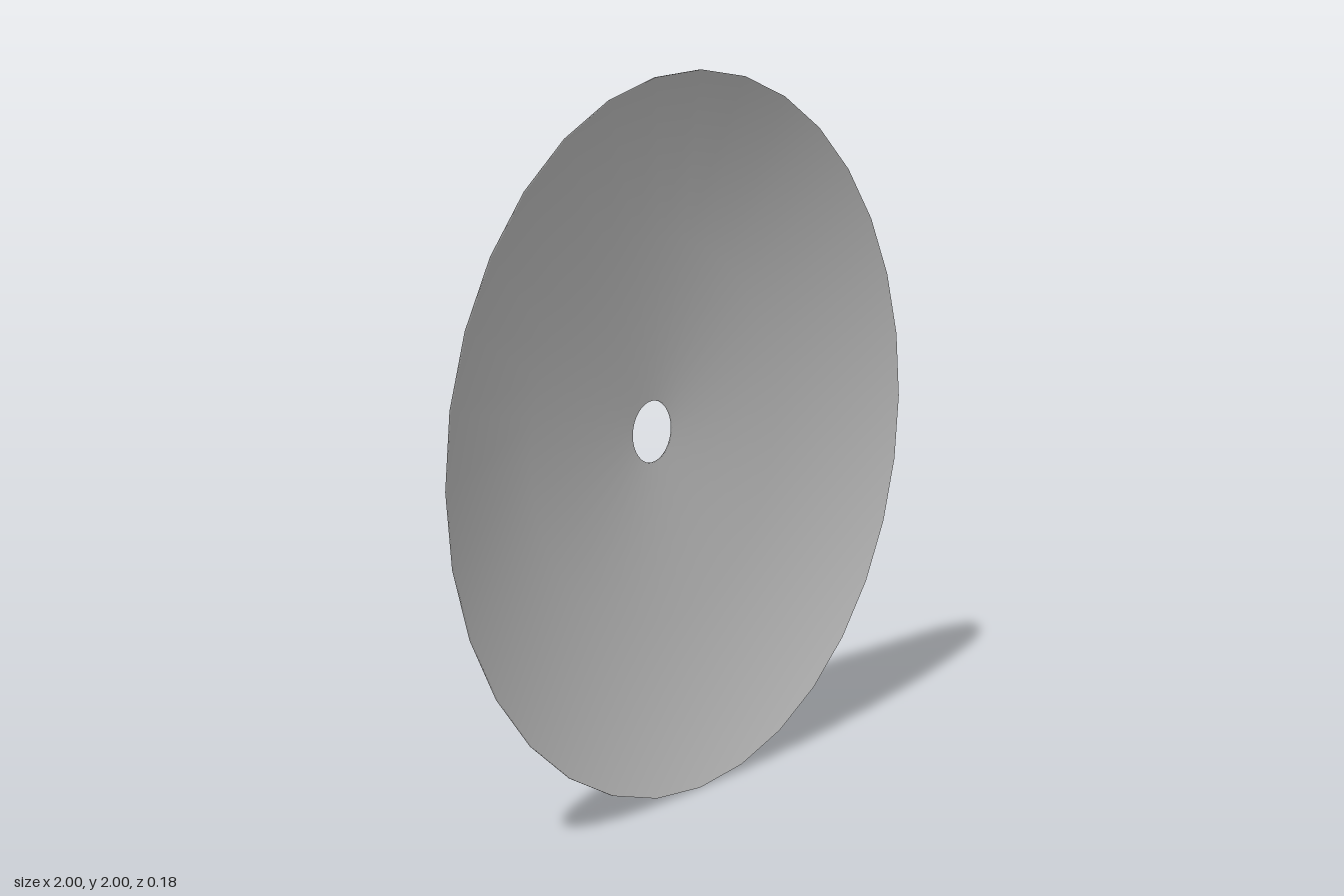
import * as THREE from 'three';

export function createModel() {
  const group = new THREE.Group();
  const t = 0.006; // sheet thickness
  const segments = 32;

  // closed cross-section (radius, depth): front face, hole wall, back face, rim wall
  const back = [[0.088, -0.088], [0.543, -0.06], [1, 0.088 - t]];
  const front = back.map(([r, z]) => [r, z + t]);
  const profile = [front[1], front[0], ...back, front[2], front[1]]
    .map(([r, z]) => new THREE.Vector2(r, z));

  const geometry = new THREE.LatheGeometry(profile, segments);

  // smooth the join where the closed cross-section starts and ends
  const normals = geometry.attributes.normal;
  const a = new THREE.Vector3();
  const b = new THREE.Vector3();
  for (let i = 0; i <= segments; i++) {
    const first = i * profile.length;
    const last = first + profile.length - 1;
    a.fromBufferAttribute(normals, first);
    b.fromBufferAttribute(normals, last);
    a.add(b).normalize();
    normals.setXYZ(first, a.x, a.y, a.z);
    normals.setXYZ(last, a.x, a.y, a.z);
  }

  // stand the dish upright with its hollow side to the front
  geometry.rotateX(Math.PI / 2);
  geometry.translate(0, 1, 0);

  const dish = new THREE.Mesh(geometry, new THREE.MeshStandardMaterial({ color: 0xcccccc }));
  dish.name = 'dish';
  group.add(dish);
  return group;
}
